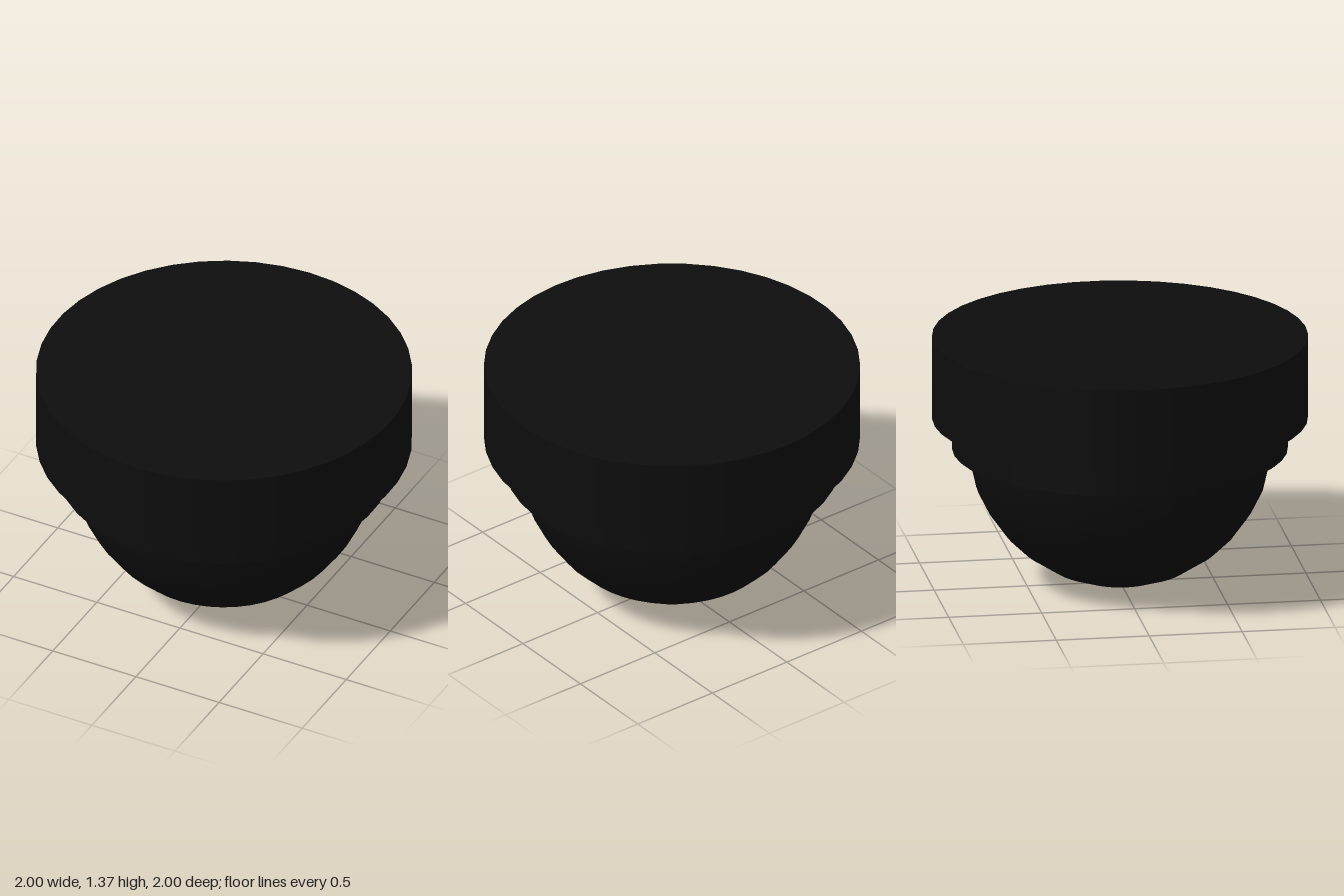
import * as THREE from 'three';

const SIDES = 42;
const TURN = 0.018;

export function createModel() {
  const group = new THREE.Group();
  const material = new THREE.MeshStandardMaterial({ color: 0x0d0d0d });

  const add = (name, geometry, y = 0) => {
    const mesh = new THREE.Mesh(geometry, material);
    mesh.name = name;
    mesh.position.y = y;
    group.add(mesh);
  };

  // Solid round drum between two heights
  const drum = (name, radius, bottom, top) => add(
    name,
    new THREE.CylinderGeometry(radius, radius, top - bottom, SIDES, 1, false, TURN),
    (bottom + top) / 2
  );

  // Wide mounting base and the narrower collar below it
  drum('mountingBase', 1, 0.915, 1.368);
  drum('collar', 0.893, 0.745, 0.915);

  // Hemispherical dome, hanging from the collar, lowest point at y = 0
  const profile = [
    [0, 0], [0.22, 0.034], [0.355, 0.084], [0.515, 0.188], [0.61, 0.28],
    [0.703, 0.41], [0.765, 0.535], [0.798, 0.68], [0.806, 0.745],
  ].map(([r, y]) => new THREE.Vector2(r, y));
  add('dome', new THREE.LatheGeometry(profile, SIDES, TURN));

  return group;
}
